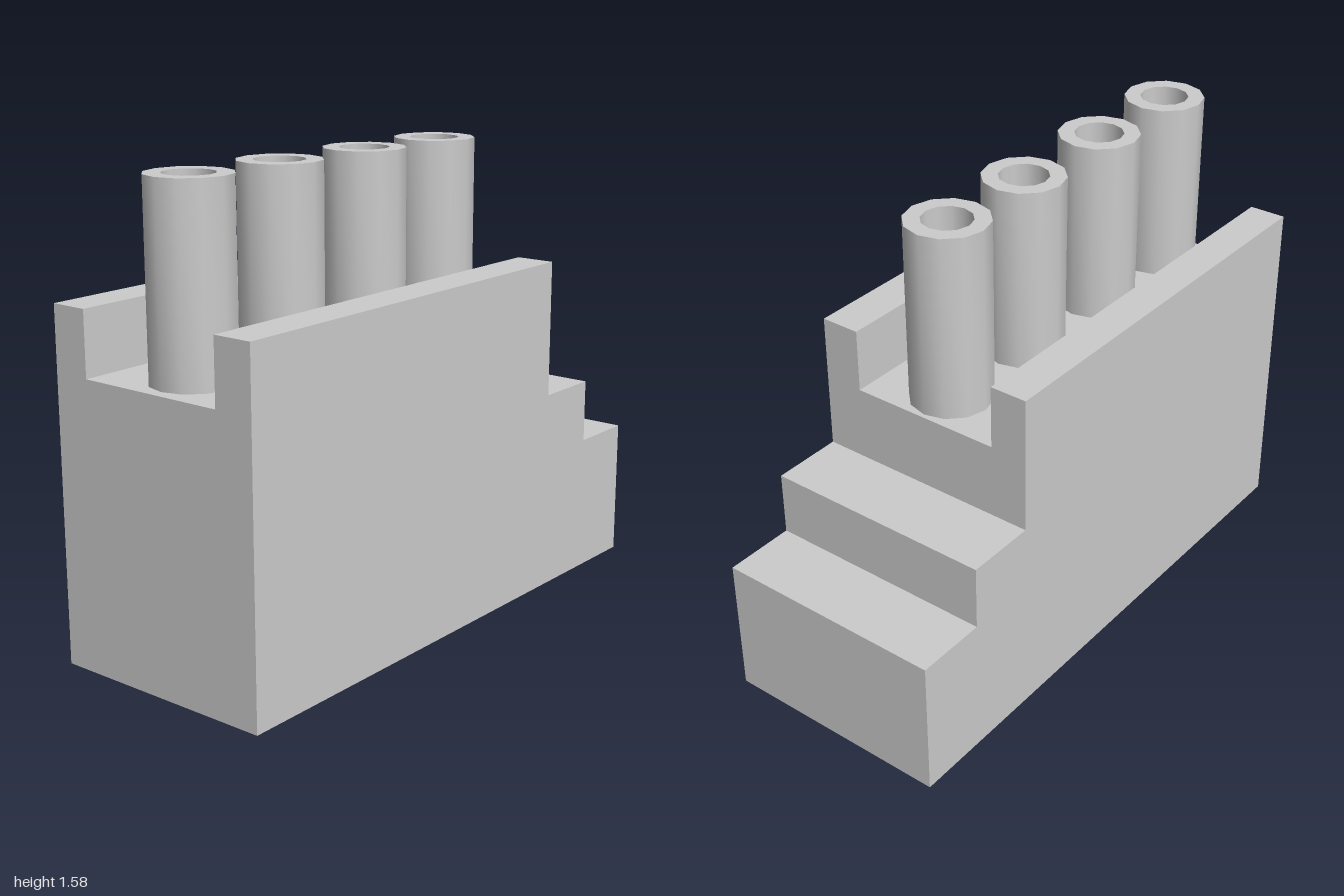
import * as THREE from 'three';
import { toCreasedNormals } from 'three/addons/utils/BufferGeometryUtils.js';

const FLOOR = 0.955;    // channel floor
const RIM = 1.17;       // top of the side walls
const BLOCK_END = 0.51; // where the steps begin
const HALF_DEPTH = 0.4;

export function createModel() {
  const model = new THREE.Group();
  const material = new THREE.MeshStandardMaterial({ color: 0xcccccc });
  const add = (name, geometry, x = 0, y = 0, z = 0) => {
    const mesh = new THREE.Mesh(geometry, material);
    mesh.name = name;
    mesh.position.set(x, y, z);
    model.add(mesh);
  };

  // Stepped body: side profile extruded across the depth
  const profile = [
    [-1, 0], [1, 0], [1, 0.48], [0.755, 0.48], [0.755, 0.7],
    [BLOCK_END, 0.7], [BLOCK_END, FLOOR], [-1, FLOOR],
  ].map(([x, y]) => new THREE.Vector2(x, y));
  add('steppedBody', new THREE.ExtrudeGeometry(new THREE.Shape(profile), {
    depth: 2 * HALF_DEPTH, bevelEnabled: false,
  }), 0, 0, -HALF_DEPTH);

  // Walls on both sides of the open channel
  const wall = (name, z0, z1) => add(name,
    new THREE.BoxGeometry(BLOCK_END + 1, RIM - FLOOR, z1 - z0),
    (BLOCK_END - 1) / 2, (RIM + FLOOR) / 2, (z0 + z1) / 2);
  wall('frontWall', 0.263, HALF_DEPTH);
  wall('backWall', -HALF_DEPTH, -0.27);

  // Row of hollow chimneys standing in the channel
  const outer = 0.138, inner = 0.083, height = 1.58 - FLOOR;
  const tubeProfile = [[outer, 0], [outer, height], [inner, height], [inner, 0]]
    .map(([r, y]) => new THREE.Vector2(r, y));
  const tube = toCreasedNormals(new THREE.LatheGeometry(tubeProfile, 12), 0.7);
  [-0.825, -0.433, -0.022, 0.357].forEach((x, i) =>
    add(`chimney${i + 1}`, tube, x, FLOOR, 0.009));

  return model;
}
